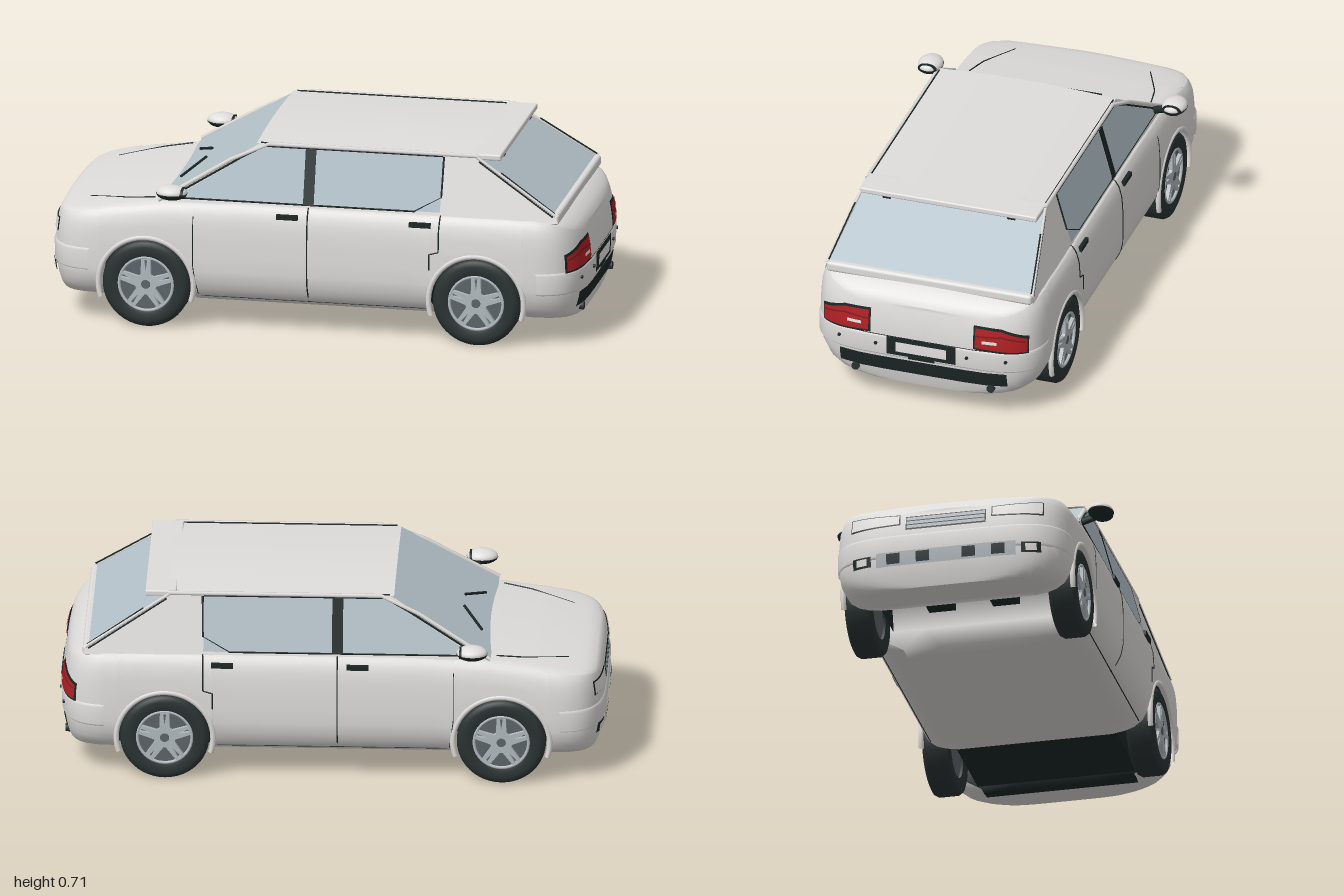
import * as THREE from 'three';
import { RoundedBoxGeometry } from 'three/addons/geometries/RoundedBoxGeometry.js';

const mat = (name, color) => Object.assign(new THREE.MeshStandardMaterial({ color, side: THREE.DoubleSide }), { name });
const paint = mat('light grey paint', 0xdfdddb);
const glass = mat('window glass', 0xb4c2c9);
const black = mat('black trim', 0x1c2626);
const rubber = mat('tyre rubber', 0x2a3232);
const silver = mat('silver', 0xb2babe);
const rimGrey = mat('rim shadow grey', 0x5c6468);
const red = mat('tail lamp red', 0xb02024);
const darkRed = mat('dark lamp red', 0x7c1a1c);
const white = mat('plate white', 0xe6e4e2);

const WHEELS = [-0.62, 0.61], AXLE = 0.163, ARCH = 0.175, SILL = 0.086;
const W = 0.435, START = 0.8, LEN = 0.191, P = 2.5, Q = 0.19;

function interp(table, x) {
  if (x <= table[0][0]) return table[0][1];
  for (let i = 1; i < table.length; i++) {
    const [a, ya] = table[i - 1], [b, yb] = table[i];
    if (x <= b) return ya + (yb - ya) * (x - a) / (b - a);
  }
  return table[table.length - 1][1];
}
// Body shape: shoulder height along x, width by height, plan rounding at the ends
const TOP = [[-0.991, 0.375], [-0.982, 0.4], [-0.95, 0.417], [-0.75, 0.45], [-0.56, 0.475], [-0.3, 0.486],
  [0.85, 0.486], [0.91, 0.475], [0.955, 0.455], [0.982, 0.432], [0.991, 0.41]];
const WIDTH = [[0, 0.66], [0.02, 0.77], [0.05, 0.85], [0.11, 0.92], [0.24, 0.98], [0.35, 1], [0.65, 1], [0.82, 0.99],
  [0.92, 0.965], [0.98, 0.93], [1, 0.86]];
const endD = x => Math.min(1, Math.max(0, (Math.abs(x) - START) / LEN));
const plan = x => Math.pow(1 - Math.pow(endD(x), P), Q);
const pull = (y, d) => 0.025 * d * d * ((y - 0.27) / 0.17) ** 2;
const widthAt = (x, y) => interp(WIDTH, (y - SILL) / (interp(TOP, x) - SILL));
const sideZ = (x, y) => W * plan(x) * widthAt(x, y);
const endX = (y, z) => {
  const r = Math.min(1, Math.abs(z) / (W * widthAt(0.95, y)));
  const d = Math.pow(1 - Math.pow(r, 1 / Q), 1 / P);
  return START + LEN * d - pull(y, d);
};
const cabinZ = y => 0.4 - (y - 0.48) * 0.27;

export function createModel() {
  const car = new THREE.Group();
  car.name = 'hatchbackCar';
  const add = (geometry, material, name, parent = car) => {
    const mesh = new THREE.Mesh(geometry, material);
    mesh.name = name;
    parent.add(mesh);
    return mesh;
  };
  const box = (w, h, d, x, y, z, material, name) => {
    const m = add(new THREE.BoxGeometry(w, h, d), material, name);
    m.position.set(x, y, z);
    return m;
  };
  // Smooth sheet from rows of points
  const sheet = (rows, material, name) => {
    const n = rows[0].length, index = [];
    for (let i = 0; i < rows.length - 1; i++) for (let j = 0; j < n - 1; j++) {
      const a = i * n + j, b = a + n;
      index.push(a, b, a + 1, b, b + 1, a + 1);
    }
    const g = new THREE.BufferGeometry();
    g.setAttribute('position', new THREE.Float32BufferAttribute(rows.flat(2), 3));
    g.setIndex(index);
    g.computeVertexNormals();
    return add(g, material, name);
  };
  const tube = (points, r, material, name) => {
    const path = new THREE.CurvePath();
    const v = points.map(p => new THREE.Vector3(...p));
    for (let i = 1; i < v.length; i++) path.add(new THREE.LineCurve3(v[i - 1], v[i]));
    return add(new THREE.TubeGeometry(path, 4 * (v.length - 1), r, 6), material, name);
  };
  // Thin panel laid on the front (-1) or rear (+1) face; stations are [z, low, high]
  const patch = (end, stations, off, material, name) => {
    const rows = [];
    for (let i = 0; i < stations.length - 1; i++) for (let k = i ? 1 : 0; k <= 8; k++) {
      const [z, lo, hi] = stations[i].map((a, c) => a + (stations[i + 1][c] - a) * k / 8);
      rows.push([0, 1, 2, 3].map(j => {
        const y = lo + (hi - lo) * j / 3;
        return [end * (endX(y, z) + off), y, z * (1 + off * 0.8)];
      }));
    }
    return sheet(rows, material, name);
  };

  // Columns along the body as [x, lower edge]
  const ends = [1, 0.9995, 0.995, 0.98, 0.95, 0.9, 0.82, 0.7, 0.55, 0.35, 0.15];
  const cols = ends.map(d => [-START - LEN * d, SILL]);
  WHEELS.forEach((xc, k) => {
    cols.push([xc - ARCH, SILL]);
    for (let i = 0; i <= 24; i++) {
      const a = Math.PI * (1 - i / 24);
      cols.push([xc + ARCH * Math.cos(a), AXLE + ARCH * Math.sin(a)]);
    }
    cols.push([xc + ARCH, SILL]);
    if (!k) for (let i = 1; i < 12; i++) cols.push([-0.44 + 0.87 * i / 12, SILL]);
  });
  ends.slice().reverse().forEach(d => cols.push([START + LEN * d, SILL]));

  // Outer shell
  const steps = [0, 0.02, 0.05, 0.11, 0.17, 0.24, 0.35, 0.5, 0.65, 0.75, 0.83, 0.89, 0.93, 0.96, 0.98, 1];
  const shiftX = (x, y) => x - Math.sign(x) * pull(y, endD(x));
  sheet(cols.map(([x, yb]) => {
    const h = interp(TOP, x);
    const half = steps.map(v => {
      const y = yb + (h - yb) * v;
      return [shiftX(x, y), y, sideZ(x, y)];
    });
    const zt = half[half.length - 1][2];
    [0.8, 0.55, 0.28].forEach(f => half.push([shiftX(x, h), h + 0.01 * (1 - f * f), zt * f]));
    return [...half, [shiftX(x, h), h + 0.01, 0], ...half.slice().reverse().map(([a, b, c]) => [a, b, -c])];
  }), paint, 'bodyShell');

  // Underside and wheel tunnels
  const floor = (list, material, name) => sheet(list.map(([x, yb]) =>
    [-1, -0.5, 0, 0.5, 1].map(f => [shiftX(x, yb), yb, f * sideZ(x, yb)])), material, name);
  const rearStart = cols.findIndex(c => c[0] > 0.42), rearEnd = cols.findIndex(c => c[0] > 0.85);
  floor(cols.slice(0, rearStart + 1), paint, 'floor');
  floor(cols.slice(rearStart, rearEnd + 1), black, 'rearUnderbody');
  floor(cols.slice(rearEnd), paint, 'rearBumperUnderside');
  box(0.44, 0.1, 0.6, 0.65, 0.145, 0, black, 'rearSubframe');
  box(0.14, 0.03, 0.1, -0.6, 0.2, 0.12, black, 'engineTray');
  box(0.14, 0.03, 0.1, -0.6, 0.2, -0.12, black, 'engineTray');

  // Cabin
  const roofY = z => 0.698 + 0.012 * (1 - (z / 0.34) ** 2);
  const span = Array.from({ length: 13 }, (_, i) => -1 + i / 6);
  sheet([-0.225, 0, 0.3, 0.6].map(x => span.map(f => [x, roofY(f * 0.34), f * 0.34])), paint, 'roof');
  const slope = (xb, yb, xt, yt, material, name) => sheet([[xb, yb], [xt, yt]].map(([x, y]) =>
    span.map(f => [x, y, f * cabinZ(y)])), material, name);
  slope(-0.58, 0.475, -0.215, 0.698, glass, 'windscreen');
  slope(0.9, 0.5, 0.59, 0.695, glass, 'rearWindow');
  const lip = add(new RoundedBoxGeometry(0.036, 0.04, 0.79, 3, 0.012), paint, 'tailgateLip');
  lip.position.set(0.893, 0.487, 0);
  const spoiler = add(new RoundedBoxGeometry(0.115, 0.022, 0.68, 2, 0.006), paint, 'roofSpoiler');
  spoiler.position.set(0.627, 0.694, 0);
  [-0.24, 0.24].forEach(z => box(0.01, 0.008, 0.03, 0.675, 0.68, z, black, 'windowBumpStop'));

  for (const s of [1, -1]) {
    // Flat cabin panel from [x, y] corners
    const panel = (pts, off, material, name) => {
      const g = new THREE.ShapeGeometry(new THREE.Shape(pts.map(p => new THREE.Vector2(...p))));
      const p = g.attributes.position;
      for (let i = 0; i < p.count; i++) p.setZ(i, s * (cabinZ(p.getY(i)) + off));
      g.computeVertexNormals();
      return add(g, material, name);
    };
    // Dark line following the body side
    const onBody = (pts, r, name) => {
      const fine = [];
      for (let i = 0; i < (pts.length - 1) * 10 + 1; i++) {
        const k = Math.min(pts.length - 2, Math.floor(i / 10)), t = i / 10 - k;
        const x = pts[k][0] + (pts[k + 1][0] - pts[k][0]) * t, y = pts[k][1] + (pts[k + 1][1] - pts[k][1]) * t;
        fine.push([x, y, s * (sideZ(x, y) + 0.0005)]);
      }
      tube(fine, r, black, name);
    };
    const onCabin = (pts, r, material, name) => tube(pts.map(([x, y]) => [x, y, s * (cabinZ(y) + 0.001)]), r, material, name);
    panel([[-0.58, 0.475], [0.91, 0.475], [0.9, 0.5], [0.595, 0.698], [-0.215, 0.698]], 0, paint, 'cabinSide');
    panel([[-0.52, 0.492], [-0.04, 0.492], [-0.04, 0.688], [-0.205, 0.688]], 0.004, glass, 'frontSideWindow');
    panel([[0, 0.492], [0.47, 0.492], [0.47, 0.688], [0, 0.688]], 0.004, glass, 'rearSideWindow');
    panel([[-0.04, 0.49], [0, 0.49], [0, 0.69], [-0.04, 0.69]], 0.006, black, 'centrePillar');
    onCabin([[-0.58, 0.478], [-0.215, 0.698], [0.6, 0.698]], 0.008, paint, 'roofRail');
    onCabin([[0.595, 0.695], [0.9, 0.502]], 0.006, paint, 'rearPillar');
    onCabin([[-0.52, 0.491], [0.47, 0.491], [0.474, 0.688]], 0.004, black, 'windowSeal');
    onCabin([[-0.53, 0.494], [-0.205, 0.69], [0.47, 0.69]], 0.004, black, 'upperSeal');
    onCabin([[0.605, 0.678], [0.89, 0.497]], 0.003, black, 'rearPillarSeal');
    tube([[0.69, 0.643, s * 0.357], [0.895, 0.51, s * 0.39]], 0.003, black, 'rearWindowSeal');
    tube([[-0.21, 0.7, s * 0.335], [0.57, 0.7, s * 0.335]], 0.003, black, 'roofGutter');

    // Door gaps and handles
    onBody([[-0.02, 0.12], [-0.02, 0.44], [-0.02, 0.48]], 0.0025, 'doorGap');
    onBody([[-0.43, 0.13], [-0.445, 0.25], [-0.445, 0.43]], 0.0015, 'frontDoorGap');
    onBody([[0.472, 0.48], [0.47, 0.43], [0.47, 0.35], [0.435, 0.34], [0.435, 0.28]], 0.0025, 'rearDoorGap');
    onBody([[-0.42, 0.122], [0, 0.122], [0.42, 0.122]], 0.002, 'sillGap');
    [-0.095, 0.4].forEach(x => box(0.08, 0.018, 0.016, x, 0.447, s * (sideZ(x, 0.447) + 0.002), black, 'doorHandle'));

    // Bonnet gap and wiper
    const hood = (x, z) => [x, interp(TOP, x) + 0.004, s * z];
    tube([hood(-0.86, 0.26), hood(-0.7, 0.33), hood(-0.6, 0.35)], 0.0025, black, 'bonnetGap');
    tube([[-0.54, 0.505, s * 0.18], [-0.47, 0.548, s * 0.055]], 0.005, black, 'wiper');

    // Door mirror
    const mirror = add(new THREE.SphereGeometry(1, 24, 16), paint, 'mirrorShell');
    mirror.scale.set(0.057, 0.027, 0.046);
    mirror.position.set(-0.515, 0.531, s * 0.47);
    const under = add(new THREE.SphereGeometry(1, 24, 10, 0, Math.PI * 2, Math.PI * 0.52, Math.PI * 0.48), black, 'mirrorBase');
    under.scale.set(0.058, 0.028, 0.047);
    under.position.copy(mirror.position);
    [[0.035, 0.02, 0.037, black, 'mirrorFrame'], [0.024, 0.011, 0.039, silver, 'mirrorGlass']].forEach(([a, b, x, m, n]) => {
      const face = add(new THREE.CylinderGeometry(1, 1, 1, 24).rotateZ(Math.PI / 2), m, n);
      face.scale.set(0.018, b, a);
      face.position.set(-0.515 + x, 0.531, s * 0.47);
    });
    tube([[-0.5, 0.5, s * 0.38], [-0.5, 0.522, s * 0.45]], 0.014, black, 'mirrorStalk');

    // Tail lamps
    patch(1, [[s * 0.197, 0.295, 0.39], [s * 0.3, 0.288, 0.386], [s * 0.394, 0.285, 0.355]], 0.003, black, 'tailLampSurround');
    patch(1, [[s * 0.204, 0.303, 0.381], [s * 0.3, 0.297, 0.377], [s * 0.389, 0.293, 0.347]], 0.006, red, 'tailLamp');
    patch(1, [[s * 0.205, 0.346, 0.352], [s * 0.3, 0.352, 0.358], [s * 0.385, 0.332, 0.338]], 0.008, darkRed, 'tailLampDivider');
    patch(1, [[s * 0.23, 0.324, 0.336], [s * 0.285, 0.324, 0.336]], 0.01, white, 'reversingLamp');
    // Headlamps and lower openings
    patch(-1, [[s * 0.17, 0.33, 0.372], [s * 0.36, 0.325, 0.38]], 0.002, black, 'headlampSurround');
    patch(-1, [[s * 0.174, 0.334, 0.368], [s * 0.356, 0.33, 0.376]], 0.005, white, 'headlamp');
    patch(-1, [[s * 0.28, 0.175, 0.215], [s * 0.35, 0.175, 0.215]], 0.009, black, 'fogLampRecess');
    patch(-1, [[s * 0.295, 0.182, 0.208], [s * 0.335, 0.182, 0.208]], 0.012, white, 'fogLamp');
    [0.06, 0.17].forEach(z => patch(-1, [[s * z, 0.175, 0.215], [s * (z + 0.05), 0.175, 0.215]], 0.012, black, 'intakeOpening'));
    // Parking sensors and exhausts
    [[0.32, 0.255, 0.006], [0.175, 0.255, 0.006], [0.26, 0.128, 0.015]].forEach(([z, y, r]) => {
      const d = add(new THREE.CylinderGeometry(r, r, 0.02, 16).rotateZ(Math.PI / 2), r > 0.01 ? rubber : black, r > 0.01 ? 'exhaust' : 'parkingSensor');
      d.position.set(endX(y, z) + 0.002, y, s * z);
    });
  }

  // Bumpers
  for (const end of [1, -1]) {
    const rows = [];
    for (let i = 0; i <= 48; i++) {
      const t = Math.sin((i / 24 - 1) * Math.PI / 2);
      rows.push([[0.205, 0], [0.213, 0.006], [0.28, 0.006], [0.289, 0]].map(([y, o]) => {
        const z = 0.998 * t * W * widthAt(0.95, y);
        return [end * (endX(y, z) + o), y, z * (1 + o * 1.5)];
      }));
    }
    sheet(rows, paint, end > 0 ? 'rearBumper' : 'frontBumper');
  }
  patch(1, [[-0.32, 0.14, 0.198], [0.32, 0.14, 0.198]], 0.004, black, 'rearDiffuser');
  patch(1, [[-0.39, 0.289, 0.292], [0.39, 0.289, 0.292]], 0.003, black, 'tailgateGap');
  patch(1, [[-0.132, 0.217, 0.292], [0.132, 0.217, 0.292]], 0.008, black, 'plateRecess');
  patch(1, [[-0.05, 0.207, 0.217], [0.05, 0.207, 0.217]], 0.008, black, 'tailgateHandle');
  patch(1, [[-0.096, 0.234, 0.275], [0.096, 0.234, 0.275]], 0.011, white, 'numberPlate');
  patch(-1, [[-0.15, 0.308, 0.362], [0.15, 0.308, 0.362]], 0.002, black, 'grille');
  [0.319, 0.335, 0.351].forEach(y => patch(-1, [[-0.146, y - 0.006, y + 0.006], [0.146, y - 0.006, y + 0.006]], 0.005, silver, 'grilleBar'));
  patch(-1, [[-0.26, 0.168, 0.222], [0.26, 0.168, 0.222]], 0.009, silver, 'lowerIntake');

  // Wheels
  const tyreProfile = [[0.098, 0.045], [0.115, 0.052], [0.14, 0.053], [0.155, 0.047], [0.163, 0.034], [0.163, -0.034],
    [0.155, -0.047], [0.14, -0.053], [0.098, -0.045]].map(p => new THREE.Vector2(...p));
  const tyre = new THREE.LatheGeometry(tyreProfile, 48).rotateX(Math.PI / 2);
  const star = new THREE.Shape();
  for (let i = 0; i < 20; i++) {
    const k = i % 4, a = (Math.floor(i / 4) + [-0.14, 0.14, 0.4, 0.6][k]) * Math.PI * 0.4 + Math.PI / 2;
    const r = k < 2 ? 0.098 : 0.04;
    star[i ? 'lineTo' : 'moveTo'](r * Math.cos(a), r * Math.sin(a));
  }
  for (let i = 0; i < 5; i++) {
    const a = i * Math.PI * 0.4 + Math.PI / 2, hole = new THREE.Path();
    [[0.092, -0.06], [0.092, 0.06], [0.05, 0]].forEach(([r, t], j) =>
      hole[j ? 'lineTo' : 'moveTo'](r * Math.cos(a + t), r * Math.sin(a + t)));
    star.holes.push(hole);
  }
  const spokes = new THREE.ExtrudeGeometry(star, { depth: 0.014, bevelEnabled: false });
  for (const x of WHEELS) for (const s of [1, -1]) {
    const wheel = new THREE.Group();
    wheel.name = 'wheel';
    add(tyre, rubber, 'tyre', wheel);
    add(new THREE.CylinderGeometry(0.1, 0.1, 0.07, 32).rotateX(Math.PI / 2), rimGrey, 'rimWell', wheel);
    add(new THREE.TorusGeometry(0.1, 0.006, 8, 40), silver, 'rimEdge', wheel).position.z = 0.045;
    add(spokes, silver, 'spokes', wheel).position.z = 0.036;
    add(new THREE.CylinderGeometry(0.016, 0.02, 0.012, 20).rotateX(Math.PI / 2), rimGrey, 'hubCap', wheel).position.z = 0.047;
    wheel.position.set(x, AXLE, s * 0.382);
    if (s < 0) wheel.rotation.y = Math.PI;
    car.add(wheel);
    // Arch lip and inner wall of the wheel well
    const lipRing = add(new THREE.TorusGeometry(ARCH + 0.002, 0.01, 8, 40, Math.PI * 1.2), paint, 'archLip');
    lipRing.rotation.z = -Math.PI * 0.1;
    lipRing.position.set(x, AXLE, s * 0.43);
    add(new THREE.CircleGeometry(ARCH, 32, 0, Math.PI), black, 'wheelWell').position.set(x, AXLE, s * 0.325);
  }
  return car;
}
